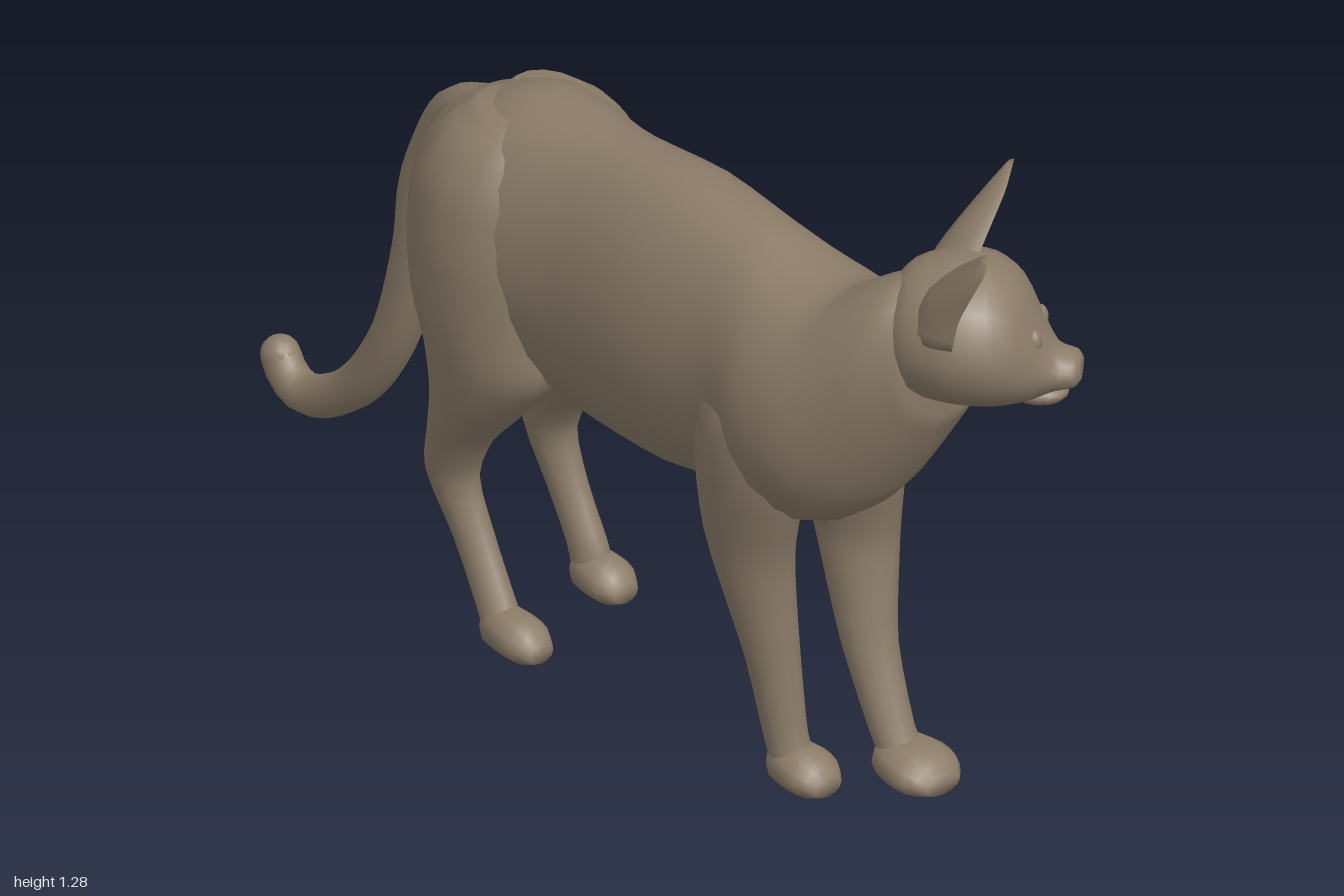
import * as THREE from 'three';

const fur = new THREE.MeshStandardMaterial({ color: 0x8c7c69 });
fur.name = 'fur brown';

// Smooth closed skin over elliptical rings [x, y, z, radiusA, radiusB], listed in rising axis order.
// axis 'z': rings stand in the xy plane; axis 'y': rings lie in the xz plane. cup hollows the front.
function loft(rings, axis, { sides = 16, steps = 3, cup = false } = {}) {
  const centres = new THREE.CatmullRomCurve3(rings.map(r => new THREE.Vector3(r[0], r[1], r[2])), false, 'catmullrom', 0.4);
  const radii = new THREE.CatmullRomCurve3(rings.map(r => new THREE.Vector3(r[3], r[4], 0)), false, 'catmullrom', 0.4);
  const n = (rings.length - 1) * steps;
  const pos = [], idx = [];
  for (let i = 0; i <= n; i++) {
    const c = centres.getPoint(i / n), r = radii.getPoint(i / n);
    for (let j = 0; j < sides; j++) {
      const a = (j / sides) * Math.PI * 2;
      const u = Math.cos(a) * r.x;
      let v = Math.sin(a) * r.y;
      if (cup && v < 0) v *= -0.3;
      if (axis === 'z') pos.push(c.x + u, c.y + v, c.z);
      else pos.push(c.x + u, c.y, c.z - v);
    }
  }
  for (let i = 0; i < n; i++) {
    for (let j = 0; j < sides; j++) {
      const k = (j + 1) % sides;
      const a = i * sides + j, b = i * sides + k, c = b + sides, d = a + sides;
      idx.push(a, b, c, a, c, d);
    }
  }
  // end caps
  const first = rings[0], last = rings[rings.length - 1];
  const p = pos.length / 3;
  pos.push(first[0], first[1], first[2], last[0], last[1], last[2]);
  for (let j = 0; j < sides; j++) {
    const k = (j + 1) % sides;
    idx.push(p, k, j, p + 1, n * sides + j, n * sides + k);
  }
  const g = new THREE.BufferGeometry();
  g.setAttribute('position', new THREE.Float32BufferAttribute(pos, 3));
  g.setIndex(idx);
  g.computeVertexNormals();
  return g;
}

function add(parent, name, geometry) {
  const m = new THREE.Mesh(geometry, fur);
  m.name = name;
  parent.add(m);
  return m;
}

function ball(parent, name, [x, y, z], [rx, ry, rz]) {
  const m = add(parent, name, new THREE.SphereGeometry(1, 14, 10));
  m.position.set(x, y, z);
  m.scale.set(rx, ry, rz);
}

// Paw: low at the toes, rising to the ankle; z is the middle of the foot
function paw(parent, name, x, z, w, half) {
  add(parent, name, loft([
    [x, 0.045, z - half, w * 0.45, 0.03], [x, 0.046, z - half * 0.7, w * 0.8, 0.044],
    [x, 0.045, z, w, 0.044], [x, 0.04, z + half * 0.55, w * 0.95, 0.038], [x, 0.034, z + half, w * 0.55, 0.02],
  ], 'z', { sides: 12, steps: 2 }));
}

function leg(parent, name, rings, foot) {
  const g = new THREE.Group();
  g.name = name;
  add(g, name + 'Limb', loft(rings, 'y', { sides: 14 }));
  paw(g, name + 'Paw', ...foot);
  parent.add(g);
}

// Tapered tube with a rounded tip
function addTail(parent) {
  const curve = new THREE.CatmullRomCurve3([
    [-0.035, 1.01, -0.38], [-0.035, 0.96, -0.475], [-0.035, 0.82, -0.545], [-0.035, 0.64, -0.575],
    [-0.035, 0.42, -0.65], [-0.035, 0.27, -0.76], [-0.035, 0.2, -0.89], [-0.035, 0.215, -0.94], [-0.035, 0.25, -0.965],
  ].map(p => new THREE.Vector3(...p)));
  const n = 40, sides = 10;
  const g = new THREE.TubeGeometry(curve, n, 0.05, sides, false);
  const pos = g.attributes.position, v = new THREE.Vector3();
  for (let i = 0; i <= n; i++) {
    const t = i / n, c = curve.getPointAt(t);
    const s = Math.min(0.8 + 0.9 * t, 1.22 - 0.48 * t);
    for (let j = 0; j <= sides; j++) {
      const k = i * (sides + 1) + j;
      v.fromBufferAttribute(pos, k).sub(c).multiplyScalar(s).add(c);
      pos.setXYZ(k, v.x, v.y, v.z);
    }
  }
  add(parent, 'tail', g);
  ball(parent, 'tailTip', [-0.035, 0.25, -0.965], [0.037, 0.037, 0.037]);
}

// Head looks along its own +z; the group turns it toward the model's left.
function head() {
  const h = new THREE.Group();
  h.name = 'head';
  add(h, 'skull', loft([
    [0, 1.03, -0.14, 0.075, 0.075], [0, 1.035, -0.095, 0.125, 0.12], [0, 1.04, -0.02, 0.158, 0.138],
    [0, 1.035, 0.05, 0.152, 0.137], [0, 1.02, 0.1, 0.124, 0.117], [0, 0.99, 0.135, 0.083, 0.08],
    [0, 0.967, 0.165, 0.058, 0.043], [0, 0.965, 0.2, 0.046, 0.033], [0, 0.966, 0.212, 0.028, 0.02],
  ], 'z', { sides: 18 }));
  ball(h, 'lowerJaw', [0, 0.917, 0.135], [0.045, 0.024, 0.055]);
  for (const s of [1, -1]) {
    const side = s > 0 ? 'left' : 'right';
    add(h, side + 'Ear', loft([
      [s * 0.07, 1.07, -0.005, 0.088, 0.09], [s * 0.087, 1.14, 0.01, 0.085, 0.075],
      [s * 0.122, 1.2, 0.035, 0.068, 0.052], [s * 0.158, 1.25, 0.058, 0.042, 0.03],
      [s * 0.178, 1.278, 0.066, 0.016, 0.012],
    ], 'y', { sides: 14, cup: true }));
    ball(h, side + 'Eye', [s * 0.046, 1.04, 0.13], [0.02, 0.024, 0.016]);
    const lid = add(h, side + 'Eyelid', new THREE.TorusGeometry(0.025, 0.006, 6, 16));
    lid.position.set(s * 0.047, 1.04, 0.13);
    lid.rotation.set(-0.45, s * 0.5, 0, 'YXZ');
  }
  h.position.set(0.06, 0, 0.83);
  h.rotation.y = THREE.MathUtils.degToRad(43);
  return h;
}

export function createModel() {
  const cat = new THREE.Group();
  cat.name = 'cat';

  // trunk and neck: [z, centre x, top, bottom, half width]
  const trunk = [
    [-0.48, -0.035, 0.94, 0.74, 0.08], [-0.455, -0.035, 1.0, 0.68, 0.13], [-0.38, -0.035, 1.055, 0.62, 0.178],
    [-0.25, -0.035, 1.11, 0.57, 0.2], [-0.1, -0.037, 1.11, 0.545, 0.183], [0, -0.04, 1.11, 0.53, 0.174],
    [0.2, -0.04, 1.122, 0.53, 0.181], [0.4, -0.042, 1.105, 0.565, 0.166], [0.52, -0.035, 1.075, 0.555, 0.195],
    [0.62, -0.03, 1.068, 0.59, 0.19], [0.7, -0.018, 1.115, 0.655, 0.165], [0.77, 0.003, 1.145, 0.76, 0.148],
    [0.83, 0.03, 1.13, 0.87, 0.12],
  ];
  add(cat, 'trunk', loft(trunk.map(([z, x, t, b, w]) => [x, (t + b) / 2, z, w, (t - b) / 2]), 'z', { sides: 22 }));

  leg(cat, 'leftFrontLeg', [
    [0.1, 0.04, 0.62, 0.044, 0.045], [0.094, 0.1, 0.585, 0.042, 0.045], [0.097, 0.25, 0.52, 0.052, 0.055],
    [0.112, 0.4, 0.475, 0.068, 0.078], [0.115, 0.48, 0.46, 0.073, 0.095], [0.09, 0.65, 0.475, 0.086, 0.12],
    [0.052, 0.8, 0.475, 0.1, 0.12], [0.0, 0.95, 0.48, 0.08, 0.08],
  ], [0.1, 0.645, 0.072, 0.077]);

  leg(cat, 'rightFrontLeg', [
    [-0.066, 0.04, 0.51, 0.042, 0.045], [-0.07, 0.1, 0.485, 0.04, 0.044], [-0.082, 0.25, 0.465, 0.05, 0.052],
    [-0.1, 0.4, 0.445, 0.066, 0.072], [-0.112, 0.5, 0.435, 0.074, 0.095], [-0.13, 0.65, 0.46, 0.085, 0.12],
    [-0.128, 0.8, 0.475, 0.092, 0.12], [-0.07, 0.95, 0.48, 0.08, 0.08],
  ], [-0.063, 0.525, 0.057, 0.07]);

  // hind legs share a thigh, mirrored about the trunk's axis; each shank has its own stride
  const thigh = [
    [0.118, 0.5, -0.27, 0.078, 0.105], [0.115, 0.6, -0.235, 0.098, 0.155], [0.11, 0.7, -0.25, 0.114, 0.175],
    [0.105, 0.83, -0.26, 0.122, 0.178], [0.09, 0.95, -0.265, 0.12, 0.16], [0.065, 1.03, -0.265, 0.1, 0.13],
    [0.04, 1.08, -0.26, 0.06, 0.08],
  ];
  const thighFor = s => thigh.map(([x, ...rest]) => [-0.035 + s * x, ...rest]);
  leg(cat, 'leftHindLeg', [
    [0.12, 0.04, -0.275, 0.038, 0.042], [0.116, 0.1, -0.29, 0.035, 0.044], [0.112, 0.2, -0.34, 0.036, 0.045],
    [0.105, 0.31, -0.38, 0.044, 0.056], [0.095, 0.41, -0.33, 0.058, 0.07], ...thighFor(1),
  ], [0.12, -0.25, 0.05, 0.065]);
  leg(cat, 'rightHindLeg', [
    [-0.14, 0.04, -0.215, 0.038, 0.042], [-0.138, 0.1, -0.25, 0.035, 0.044], [-0.138, 0.2, -0.305, 0.036, 0.045],
    [-0.145, 0.31, -0.355, 0.044, 0.056], [-0.152, 0.41, -0.32, 0.058, 0.07], ...thighFor(-1),
  ], [-0.14, -0.185, 0.05, 0.073]);

  addTail(cat);
  cat.add(head());
  return cat;
}
